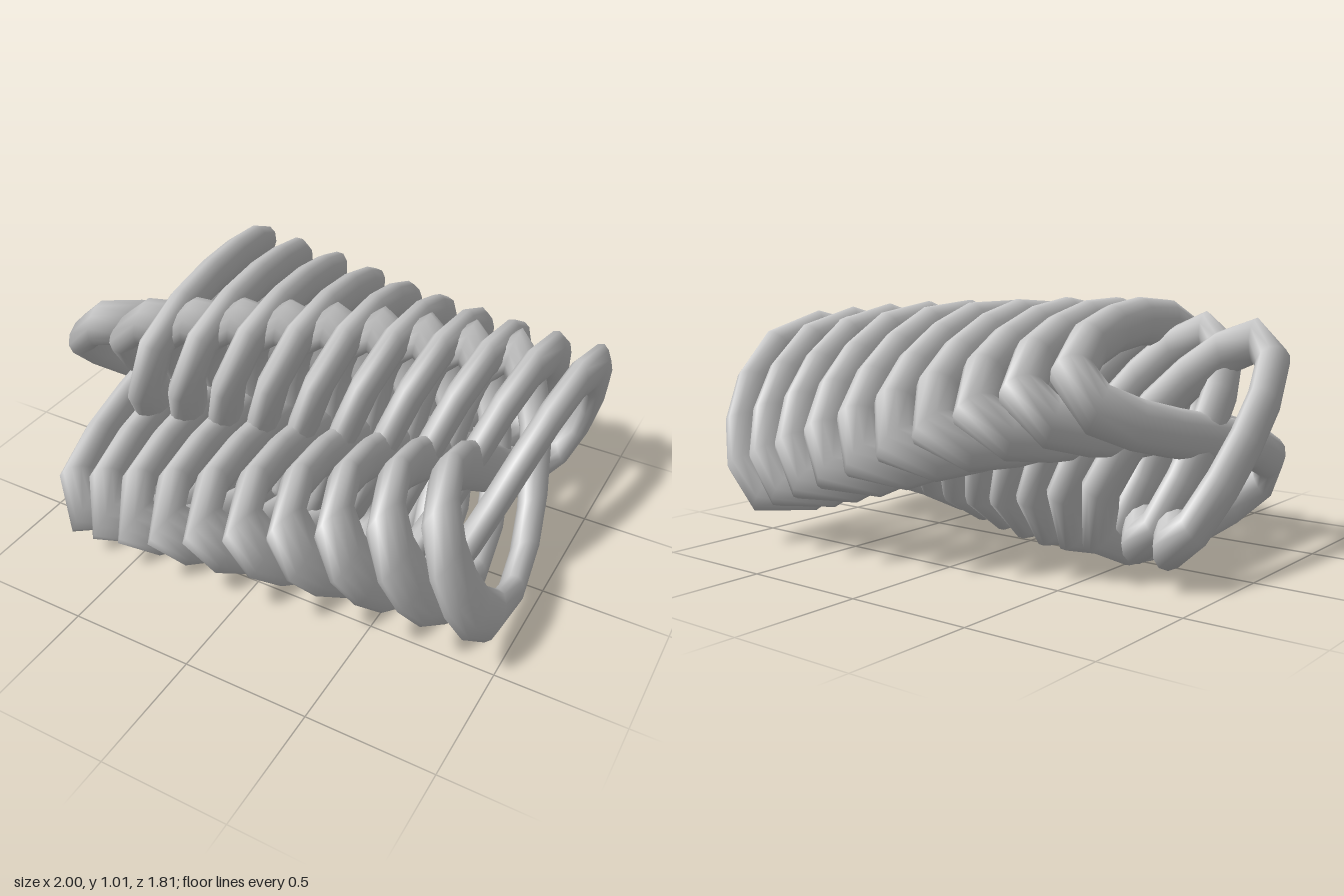
import * as THREE from 'three';

const COPIES = 10;
const TUBE_SCALE = new THREE.Vector3(0.46, 0.88, 1.12); // flattened tube section

// Trefoil seen along its two-fold axis (x), turned about x inside a flattened ellipse
class KnotCurve extends THREE.Curve {
  constructor(centreX, turn) {
    super();
    this.centreX = centreX;
    this.turn = turn;
  }
  getPoint(s, target = new THREE.Vector3()) {
    const t = s * Math.PI * 2;
    const u = 0.26 * (Math.sin(t) + 2 * Math.sin(2 * t));
    const v = -0.49 * Math.sin(3 * t);
    const c = Math.cos(this.turn), n = Math.sin(this.turn);
    return target.set(
      this.centreX + 0.08 * (Math.cos(t) - 2 * Math.cos(2 * t) + 0.47),
      0.66 * (u * n + v * c),
      -(u * c - v * n)
    ).divide(TUBE_SCALE);
  }
}

export function createModel() {
  const model = new THREE.Group();
  model.name = 'knotCoil';
  const material = new THREE.MeshStandardMaterial({ color: 0xcccccc });

  // Row of interlocking knots, each turned a little further than its neighbour
  for (let i = 0; i < COPIES; i++) {
    const x = THREE.MathUtils.lerp(-0.752, 0.752, i / (COPIES - 1));
    const turn = THREE.MathUtils.degToRad(7.3 * (COPIES - 1 - i));
    const geometry = new THREE.TubeGeometry(new KnotCurve(x, turn), 36, 0.1, 12, true);
    geometry.scale(TUBE_SCALE.x, TUBE_SCALE.y, TUBE_SCALE.z);
    const knot = new THREE.Mesh(geometry, material);
    knot.name = `knot${i + 1}`;
    model.add(knot);
  }

  // Rest the row on the ground
  const box = new THREE.Box3().setFromObject(model, true);
  for (const knot of model.children) knot.position.y = -box.min.y;
  return model;
}
